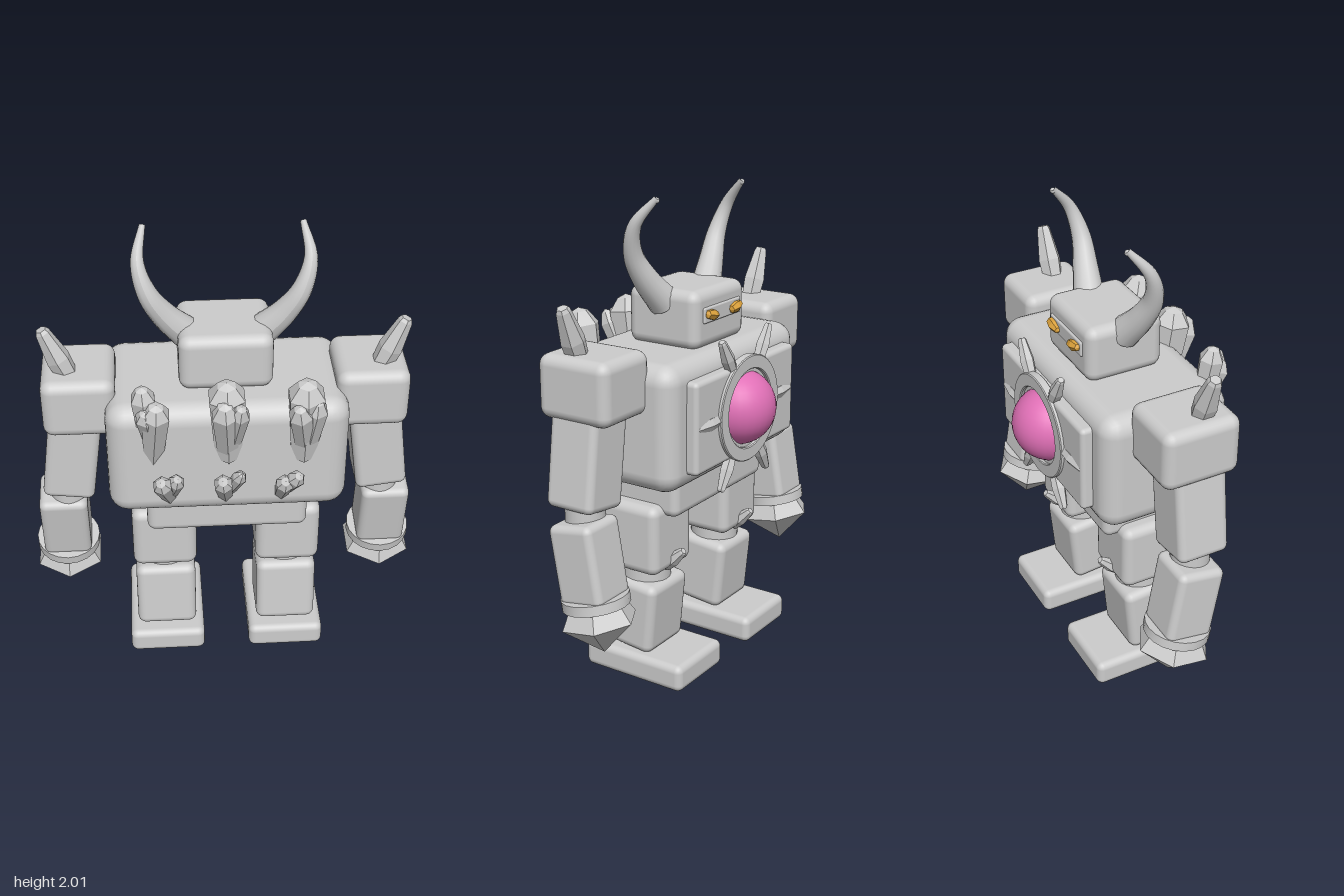
import * as THREE from 'three';
import { toCreasedNormals } from 'three/addons/utils/BufferGeometryUtils.js';
import { RoundedBoxGeometry } from 'three/addons/geometries/RoundedBoxGeometry.js';

export function createModel() {
  const model = new THREE.Group();
  model.name = 'golem';
  const mat = (name, color) => {
    const m = new THREE.MeshStandardMaterial({ color });
    m.name = name;
    return m;
  };
  const stone = mat('stone', 0xcccccc);
  const pink = mat('pinkCore', 0xe070b6);
  const amber = mat('amber', 0xdca23c);
  const V = (x, y, z) => new THREE.Vector3(x, y, z);

  function add(name, geometry, x = 0, y = 0, z = 0, material = stone) {
    const mesh = new THREE.Mesh(geometry, material);
    mesh.name = name;
    mesh.position.set(x, y, z);
    model.add(mesh);
    return mesh;
  }
  const block = (name, w, h, d, r, x, y, z) =>
    add(name, new RoundedBoxGeometry(w, h, d, 3, r), x, y, z);
  const joint = (name, r, h, x, y, z) =>
    add(name, new THREE.CylinderGeometry(r, r, h, 24), x, y, z);
  // faceted solid turned from [radius, height] pairs, listed from the bottom up
  const facets = (profile, sides) => toCreasedNormals(
    new THREE.LatheGeometry(profile.map(p => new THREE.Vector2(...p)), sides), 0.1);

  // six-sided crystal from base to tip
  function crystal(name, base, tip, r, shape = [[0, 0], [0.75, 0], [1, 0.82], [0.5, 0.96], [0, 1]]) {
    const axis = tip.clone().sub(base), len = axis.length();
    const mesh = add(name, facets(shape.map(([a, b]) => [a * r, b * len]), 6), base.x, base.y, base.z);
    mesh.quaternion.setFromUnitVectors(V(0, 1, 0), axis.normalize());
    return mesh;
  }
  const spikeShape = [[0, 0], [0.85, 0], [1, 0.4], [0.6, 0.94], [0.45, 1], [0, 1]];

  // horn: a tube whose rings shrink towards the tip
  function horn(points) {
    const curve = new THREE.CatmullRomCurve3(points);
    const steps = 28, sides = 14;
    const geo = new THREE.TubeGeometry(curve, steps, 1, sides);
    const pos = geo.attributes.position, p = V(), c = V();
    for (let i = 0; i < pos.count; i++) {
      const t = Math.floor(i / (sides + 1)) / steps;
      curve.getPointAt(t, c);
      p.fromBufferAttribute(pos, i).sub(c).multiplyScalar(0.054 * (1 - t) + 0.012).add(c);
      pos.setXYZ(i, p.x, p.y, p.z);
    }
    geo.computeVertexNormals();
    return geo;
  }

  // body and head
  block('torso', 0.97, 0.52, 0.56, 0.08, 0, 1.13, 0.012);
  block('pelvis', 0.67, 0.22, 0.41, 0.035, 0, 0.83, 0.015);
  block('head', 0.375, 0.24, 0.335, 0.045, 0, 1.5, -0.018);
  block('visor', 0.27, 0.065, 0.02, 0.008, 0, 1.52, -0.184);

  // chest plate, ring, spikes and core
  block('chestPlate', 0.75, 0.38, 0.07, 0.02, 0, 1.13, -0.28);
  const ring = new THREE.Shape().absarc(0, 0, 0.218, 0, Math.PI * 2);
  ring.holes.push(new THREE.Path().absarc(0, 0, 0.168, 0, Math.PI * 2, true));
  add('chestRing', toCreasedNormals(new THREE.ExtrudeGeometry(ring, {
    depth: 0.03, curveSegments: 32, bevelEnabled: true, bevelSize: 0.004, bevelThickness: 0.004, bevelSegments: 1,
  }), 0.6), 0, 1.13, -0.326);
  add('chestCore', new THREE.SphereGeometry(0.157, 32, 20), 0, 1.13, -0.27, pink);
  for (let i = 0; i < 6; i++) {
    const a = i * Math.PI / 3, x = Math.cos(a), y = Math.sin(a);
    crystal('ringSpike', V(x * 0.21, 1.13 + y * 0.21, -0.302), V(x * 0.36, 1.13 + y * 0.36, -0.302), 0.03, spikeShape);
  }

  for (const s of [-1, 1]) {
    // eyes and horns
    const eye = add('eye', facets([[0, -1], [0.7, -0.85], [1, 0], [0.6, 0.8], [0, 1]], 6), s * 0.088, 1.52, -0.197, amber);
    eye.scale.set(0.024, 0.041, 0.027);
    eye.rotation.z = Math.PI / 2 + s * 0.2;
    add('horn', horn([V(s * 0.15, 1.56, -0.01), V(s * 0.235, 1.66, 0.018), V(s * 0.3, 1.77, 0.032),
      V(s * 0.332, 1.89, 0.0), V(s * 0.308, 2.0, -0.088)]));
    add('hornTip', new THREE.SphereGeometry(0.012, 10, 6), s * 0.308, 1.99, -0.086);

    // arms
    block('shoulder', 0.295, 0.255, 0.33, 0.045, s * 0.587, 1.322, 0.015);
    crystal('shoulderSpike', V(s * 0.62, 1.41, 0.055), V(s * 0.715, 1.635, 0.055), 0.05, spikeShape);
    block('upperArm', 0.215, 0.42, 0.22, 0.03, s * 0.633, 1.05, 0.02).rotation.z = s * 0.13;
    joint('elbow', 0.08, 0.12, s * 0.665, 0.82, 0.01);
    const forearm = new THREE.Group();
    forearm.name = 'forearm';
    forearm.position.set(s * 0.69, 0.64, -0.023);
    forearm.rotation.x = 0.17;
    model.add(forearm);
    forearm.add(block('forearmBlock', 0.205, 0.33, 0.205, 0.03, 0, 0, 0));
    forearm.add(add('cuff', toCreasedNormals(new THREE.CylinderGeometry(0.137, 0.137, 0.042, 20), 0.6), 0, -0.165, 0));
    forearm.add(add('handSpike', facets([[0, -0.385], [0.157, -0.255], [0.115, -0.18], [0, -0.18]], 6)));

    // legs
    block('thigh', 0.275, 0.3, 0.295, 0.04, s * 0.265, 0.62, 0.015);
    joint('knee', 0.105, 0.12, s * 0.265, 0.45, 0.01);
    crystal('kneeSpike', V(s * 0.265, 0.475, -0.09), V(s * 0.265, 0.56, -0.18), 0.03, spikeShape);
    block('shin', 0.26, 0.31, 0.265, 0.035, s * 0.265, 0.272, 0.028).rotation.x = -0.1;
    block('foot', 0.33, 0.115, 0.485, 0.03, s * 0.265, 0.0575, -0.028);
  }

  // crystals on the far side of the torso: base x, y, z, tip x, y, z, radius
  [
    [-0.31, 1.2, 0.25, -0.335, 1.51, 0.29, 0.052],
    [-0.3, 1.15, 0.25, -0.28, 1.46, 0.34, 0.06],
    [-0.3, 1.22, 0.25, -0.325, 1.43, 0.34, 0.045],
    [0.0, 1.15, 0.25, -0.01, 1.525, 0.3, 0.08],
    [0.0, 1.14, 0.25, -0.02, 1.47, 0.36, 0.06],
    [0.01, 1.16, 0.25, 0.045, 1.46, 0.37, 0.042],
    [0.3, 1.14, 0.25, 0.3, 1.525, 0.31, 0.078],
    [0.31, 1.14, 0.25, 0.265, 1.45, 0.37, 0.05],
    [0.31, 1.14, 0.25, 0.34, 1.46, 0.34, 0.05],
    [-0.235, 0.93, 0.25, -0.275, 1.13, 0.4, 0.04],
    [-0.24, 0.94, 0.25, -0.205, 1.13, 0.38, 0.034],
    [-0.01, 0.93, 0.25, -0.03, 1.125, 0.4, 0.04],
    [-0.01, 0.94, 0.25, 0.05, 1.145, 0.38, 0.03],
    [0.215, 0.93, 0.25, 0.22, 1.105, 0.39, 0.038],
    [0.215, 0.94, 0.25, 0.275, 1.14, 0.4, 0.036],
  ].forEach(([a, b, c, x, y, z, r]) => crystal('backCrystal', V(a, b, c), V(x, y, z), r));

  return model;
}
